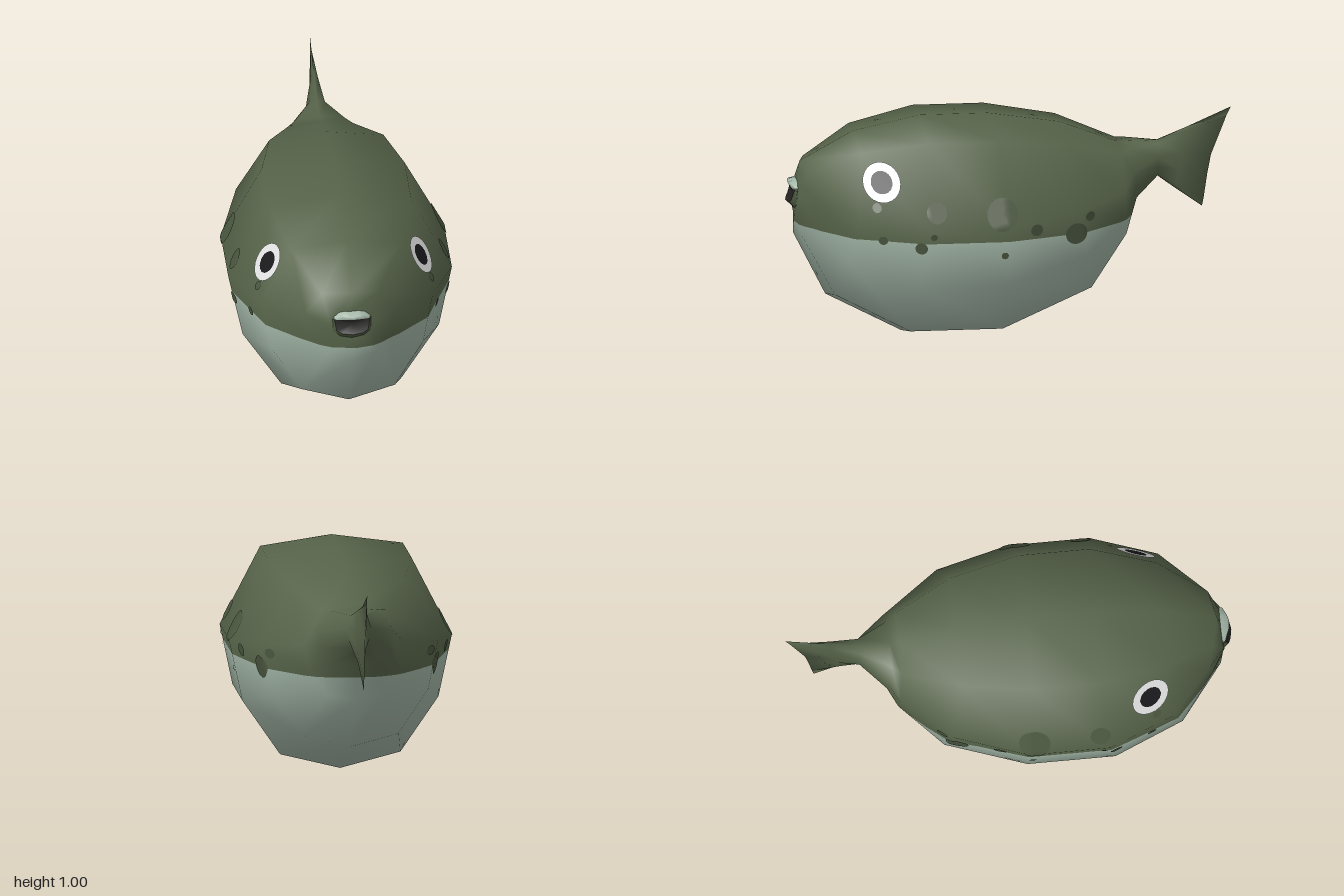
import * as THREE from 'three';
import { mergeVertices } from 'three/addons/utils/BufferGeometryUtils.js';

const WATERLINE = 0.532; // height where the back colour meets the belly colour

function mat(name, color, side = THREE.FrontSide) {
  const m = new THREE.MeshStandardMaterial({ color, side });
  m.name = name;
  return m;
}

function mesh(name, geometry, material) {
  const m = new THREE.Mesh(geometry, material);
  m.name = name;
  return m;
}

// Joins rows of points into a smooth skin
function loft(rows, closed) {
  const n = rows[0].length, index = [];
  for (let i = 0; i < rows.length - 1; i++) {
    for (let j = 0; j < (closed ? n : n - 1); j++) {
      const k = (j + 1) % n, a = i * n + j, b = i * n + k;
      index.push(a, b, b + n, a, b + n, a + n);
    }
  }
  const g = new THREE.BufferGeometry();
  g.setAttribute('position', new THREE.Float32BufferAttribute(rows.flat(2), 3));
  g.setIndex(index);
  const merged = mergeVertices(g, 1e-4);
  merged.computeVertexNormals();
  return merged;
}

// Completes a right-hand half outline (top to bottom) by mirroring
function mirrorRing(half) {
  return [...half, ...half.slice(1, -1).reverse().map(([x, y, z]) => [-x, y, z])];
}

// Ten-sided body section: z at top and bottom, y at top and bottom, half width, side setback
function section([zt, zb, yt, yb, w, inset = 0]) {
  const outline = [[0, 1], [0.64, 0.955], [1, 0.6], [0.88, 0.32], [0.54, 0.07], [0, 0]];
  return mirrorRing(outline.map(([u, v]) =>
    [u * w, yb + v * (yt - yb), zb + v * (zt - zb) - inset * u * u]));
}

// Keeps the part of a geometry above (sign 1) or below (sign -1) the colour line
function clip(geometry, sign) {
  const g = geometry.toNonIndexed();
  const p = g.attributes.position, nr = g.attributes.normal;
  const pos = [], nor = [];
  const dist = (v) => sign * (v[1] - WATERLINE);
  for (let i = 0; i < p.count; i += 3) {
    const tri = [i, i + 1, i + 2].map((k) =>
      [p.getX(k), p.getY(k), p.getZ(k), nr.getX(k), nr.getY(k), nr.getZ(k)]);
    const poly = [];
    tri.forEach((a, k) => {
      const b = tri[(k + 1) % 3], da = dist(a), db = dist(b);
      if (da >= 0) poly.push(a);
      if (da * db < 0) poly.push(a.map((v, c) => v + (b[c] - v) * da / (da - db)));
    });
    for (let k = 1; k < poly.length - 1; k++) {
      for (const v of [poly[0], poly[k], poly[k + 1]]) {
        pos.push(...v.slice(0, 3));
        nor.push(...v.slice(3));
      }
    }
  }
  const out = new THREE.BufferGeometry();
  out.setAttribute('position', new THREE.Float32BufferAttribute(pos, 3));
  out.setAttribute('normal', new THREE.Float32BufferAttribute(nor, 3));
  return out;
}

// Thin round patch laid on the flank of the body
function patch(target, side, z, y, inner, outer, lift) {
  const g = new THREE.RingGeometry(inner, outer, 24, 4);
  const p = g.attributes.position;
  const ray = new THREE.Raycaster();
  for (let i = 0; i < p.count; i++) {
    const pz = z - side * p.getX(i), py = y + p.getY(i);
    ray.set(new THREE.Vector3(side * 2, py, pz), new THREE.Vector3(-side, 0, 0));
    const hit = ray.intersectObject(target)[0];
    p.setXYZ(i, hit ? hit.point.x + side * lift : 0, py, pz);
  }
  g.computeVertexNormals();
  return g;
}

export function createModel() {
  const group = new THREE.Group();
  const green = mat('back green', 0x566349);
  const pale = mat('belly pale green', 0x9fb2a3);
  const spotGreen = mat('spot green', 0x4b5740);
  const white = mat('eye white', 0xe6e6e6);
  const black = mat('pupil black', 0x1b1a1c);
  const lipGreen = mat('lip green', 0x505c43, THREE.DoubleSide);
  const lipPale = mat('lip pale green', 0xa3b6a7, THREE.DoubleSide);
  const mouthDark = mat('mouth dark', 0x242322, THREE.DoubleSide);

  // Body and tail as one skin, front to back
  const rings = [
    [0.957, 0.957, 0.65, 0.65, 0],
    [0.95, 0.965, 0.72, 0.57, 0.1],
    [0.935, 0.965, 0.8, 0.47, 0.2, 0.07],
    [0.7, 0.82, 0.93, 0.18, 0.385, 0.04],
    [0.4, 0.48, 0.995, 0, 0.5, 0.02],
    [0.09, 0.06, 0.995, 0, 0.5, 0.03],
    [-0.23, -0.36, 0.945, 0.18, 0.4],
    [-0.49, -0.52, 0.845, 0.42, 0.225],
    [-0.53, -0.57, 0.845, 0.59, 0.17],
    [-0.67, -0.67, 0.845, 0.68, 0.055],
    [-0.8, -0.75, 0.902, 0.62, 0.025],
  ].map(section);
  rings.push(mirrorRing([[0, 0.99, -1], [0, 0.95, -0.98], [0, 0.77, -0.91],
    [0, 0.68, -0.893], [0, 0.57, -0.877], [0, 0.534, -0.87]]));
  const skin = loft(rings, true);
  group.add(mesh('backAndTail', clip(skin, 1), green));
  group.add(mesh('belly', clip(skin, -1), pale));
  const target = new THREE.Mesh(skin, green);

  // Eyes and flank spots: z, y, radius
  const spots = [[0.37, 0.67, 0.045], [0.075, 0.655, 0.07], [-0.265, 0.535, 0.05],
    [-0.08, 0.575, 0.028], [-0.33, 0.605, 0.022], [0.44, 0.51, 0.027],
    [0.605, 0.535, 0.02], [0.065, 0.465, 0.016], [0.63, 0.68, 0.02], [0.385, 0.565, 0.015]];
  for (const [side, label] of [[1, 'left'], [-1, 'right']]) {
    group.add(mesh(label + 'EyeWhite', patch(target, side, 0.605, 0.785, 0.047, 0.083, 0.009), white));
    group.add(mesh(label + 'Pupil', patch(target, side, 0.605, 0.785, 0, 0.048, 0.009), black));
    spots.forEach(([z, y, r], i) =>
      group.add(mesh(label + 'Spot' + (i + 1), patch(target, side, z, y, 0, r, 0.005), spotGreen)));
  }

  // Mouth: half outlines mirrored into full rows running from left to right
  const row = (half) => [...half.slice(1).reverse(), ...half.map(([x, y, z]) => [-x, y, z])];
  const lowerRim = row([[0, 0.622, 1], [0.045, 0.625, 0.992], [0.07, 0.635, 0.982], [0.08, 0.685, 0.966]]);
  const lowerBase = row([[0, 0.578, 0.955], [0.055, 0.585, 0.95], [0.1, 0.61, 0.935], [0.102, 0.68, 0.925]]);
  group.add(mesh('lowerLip', loft([lowerRim, lowerBase], false), lipGreen));

  const upperRim = row([[0, 0.688, 0.982], [0.025, 0.688, 0.98], [0.05, 0.687, 0.975], [0.08, 0.685, 0.966]]);
  const upperCrest = row([[0, 0.704, 0.99], [0.025, 0.71, 0.988], [0.05, 0.709, 0.978], [0.08, 0.692, 0.966]]);
  const upperBase = row([[0, 0.716, 0.945], [0.03, 0.718, 0.943], [0.06, 0.714, 0.938], [0.09, 0.69, 0.925]]);
  group.add(mesh('upperLip', loft([upperRim, upperCrest, upperBase], false), lipPale));

  const opening = [...lowerRim, ...upperRim.slice(1, -1).reverse()];
  group.add(mesh('mouthOpening', loft([opening, opening.map(() => [0, 0.658, 0.967])], true), mouthDark));

  return group;
}
